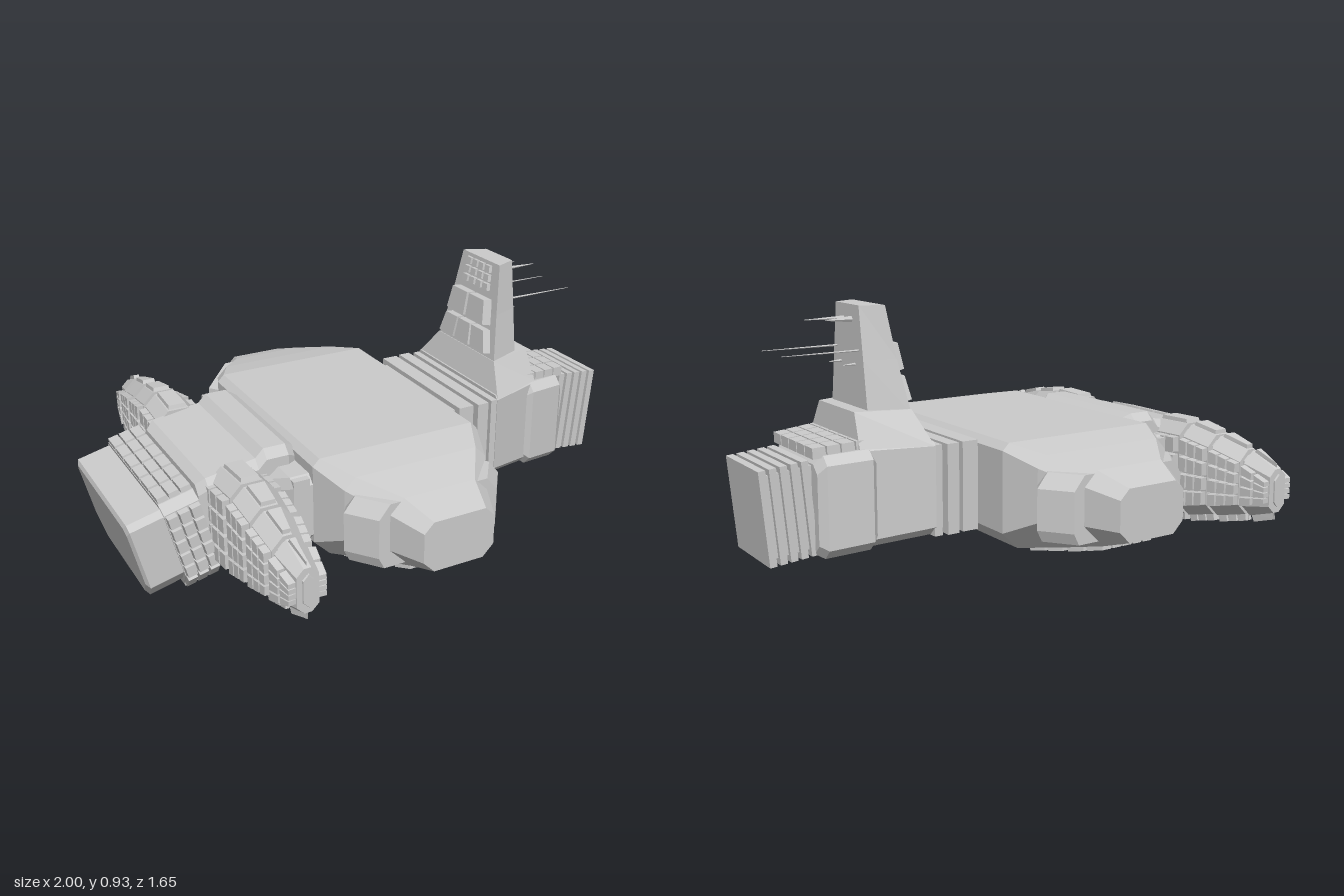
import * as THREE from 'three';
import { mergeGeometries } from 'three/addons/utils/BufferGeometryUtils.js';

const mat = new THREE.MeshStandardMaterial({ color: 0xcccccc, flatShading: true });
const V = (x, y, z) => new THREE.Vector3(x, y, z);

function add(parent, name, geo) {
  const m = new THREE.Mesh(geo, mat);
  m.name = name;
  parent.add(m);
  return m;
}

// Eight-sided outline with separate top and bottom corner cuts
const oct = (a0, a1, b0, b1, ct, cb = ct) => [
  [a0 + cb, b0], [a1 - cb, b0], [a1, b0 + cb], [a1, b1 - ct],
  [a1 - ct, b1], [a0 + ct, b1], [a0, b1 - ct], [a0, b0 + cb]];
const atX = (x, ring) => ring.map(([z, y]) => V(x, y, z));
const atZ = (z, ring) => ring.map(([x, y]) => V(x, y, z));

// Skin rings of equal length, cap both ends and make the faces point outward
function loft(rings) {
  const tris = [], n = rings[0].length;
  for (let i = 0; i < rings.length - 1; i++) for (let j = 0; j < n; j++) {
    const k = (j + 1) % n, a = rings[i], b = rings[i + 1];
    tris.push([a[j], a[k], b[k]], [a[j], b[k], b[j]]);
  }
  const end = rings[rings.length - 1];
  for (let j = 1; j < n - 1; j++)
    tris.push([rings[0][0], rings[0][j + 1], rings[0][j]], [end[0], end[j], end[j + 1]]);
  const o = rings[0][0];
  let vol = 0;
  for (const [a, b, c] of tris)
    vol += a.clone().sub(o).dot(b.clone().sub(o).cross(c.clone().sub(o)));
  const pts = tris.flatMap(([a, b, c]) => (vol < 0 ? [a, c, b] : [a, b, c]));
  const g = new THREE.BufferGeometry().setFromPoints(pts);
  g.computeVertexNormals();
  return g;
}

// Grid of raised tapered plates over a quad, standing out along dir
function plates(quad, nu, nv, t, dir, gap = 0.1) {
  const [a, b, c, d] = quad;
  const at = (u, v) => a.clone().lerp(b, u).lerp(d.clone().lerp(c, u), v);
  const n = b.clone().sub(a).cross(d.clone().sub(a)).normalize();
  if (n.dot(dir) < 0) n.negate();
  const out = [];
  for (let i = 0; i < nu; i++) for (let j = 0; j < nv; j++) {
    const ring = (g, h) => [[g, g], [1 - g, g], [1 - g, 1 - g], [g, 1 - g]]
      .map(([u, v]) => at((i + u) / nu, (j + v) / nv).addScaledVector(n, h));
    out.push(loft([ring(gap * 0.6, -0.005), ring(gap, t)]));
  }
  return mergeGeometries(out);
}

function buildHull(g) {
  const half = [
    [0.80, -0.195, 0.07, 0.20, 0.38, 0.035, 0.04],
    [0.68, -0.25, 0.12, 0.16, 0.42, 0.05, 0.08],
    [0.54, -0.34, 0.205, 0.13, 0.455, 0.04, 0.10],
    [0.41, -0.39, 0.255, 0.11, 0.48, 0.025, 0.06]];
  const ring = (s, [z, ...r]) => atZ(s * z, oct(...r));
  add(g, 'hull', loft([...half.map(h => ring(1, h)), ...half.slice().reverse().map(h => ring(-1, h))]));
  for (const s of [1, -1]) {
    // Angled blocks on the wing corners
    for (const [m, name] of [[1, 'leftCornerBlock'], [-1, 'rightCornerBlock']]) {
      const plan = [[0.10, 0.68], [0.225, 0.68], [0.30, 0.58], [0.27, 0.54], [0.10, 0.54]];
      const lvl = (y, k) => plan.map(([x, z]) => V(-0.065 + m * (x - k), y, s * z));
      add(g, name, loft([lvl(0.18, 0.02), lvl(0.22, 0), lvl(0.36, 0), lvl(0.41, 0.04)]));
    }
    // Plated underside of the wing
    const down = V(0, -1, s * 0.4);
    add(g, 'undersidePlates', plates([V(-0.3, 0.115, s * 0.43), V(0.17, 0.115, s * 0.43),
      V(0.1, 0.13, s * 0.54), V(-0.24, 0.13, s * 0.54)], 6, 2, 0.014, down));
    add(g, 'undersidePlates', plates([V(-0.24, 0.13, s * 0.55), V(0.1, 0.13, s * 0.55),
      V(0.04, 0.16, s * 0.68), V(-0.17, 0.16, s * 0.68)], 5, 2, 0.014, down));
  }
}

function buildArm(g, s) {
  const arm = new THREE.Group();
  arm.name = s > 0 ? 'frontArm' : 'backArm';
  g.add(arm);
  const sec = [[0.24, -0.69, -0.53, 0.095, 0.45], [0.42, -0.685, -0.53, 0.11, 0.455],
    [0.56, -0.68, -0.54, 0.14, 0.435], [0.70, -0.67, -0.56, 0.17, 0.405], [0.83, -0.65, -0.575, 0.205, 0.36]];
  const c = 0.04;
  add(arm, 'armCore', loft(sec.map(([z, a, b, y0, y1]) => atZ(s * z * 0.995, oct(a + 0.02, b - 0.02, y0 + 0.02, y1 - 0.02, 0.02)))));
  for (let i = 0; i < 4; i++) {
    const p = sec[i], q = sec[i + 1], za = s * (p[0] + 0.01), zb = s * (q[0] - 0.01);
    add(arm, 'armSegment', loft([atZ(za, oct(...p.slice(1), c)), atZ(zb, oct(...q.slice(1), i === 3 ? 0.025 : c))]));
    // Plates on both flanks and below
    for (const k of [1, 2])
      add(arm, 'flankPlates', plates([V(p[k], p[3] + c, za), V(p[k], p[4] - c, za),
        V(q[k], q[4] - c, zb), V(q[k], q[3] + c, zb)], 4, i === 3 ? 2 : 3, 0.026, V(k === 1 ? -1 : 1, 0, 0)));
    add(arm, 'lowerPlates', plates([V(p[1] + c, p[3], za), V(p[2] - c, p[3], za),
      V(q[2] - c, q[3], zb), V(q[1] + c, q[3], zb)], 2, i === 3 ? 1 : 3, 0.024, V(0, -1, 0)));
    add(arm, 'topCap', plates([V(p[1] + c, p[4], za), V(p[2] - c, p[4], za),
      V(q[2] - c, q[4], zb), V(q[1] + c, q[4], zb)], 1, 1, 0.014, V(0, 1, 0)));
  }
}

function buildRear(g) {
  // Joining body between hull and rear pod
  add(g, 'rearBody', loft([[-0.74, 0.27, 0.12, 0.40], [-0.71, 0.29, 0.11, 0.425], [-0.53, 0.29, 0.13, 0.455],
    [-0.50, 0.29, 0.14, 0.485], [-0.42, 0.29, 0.14, 0.485], [-0.385, 0.27, 0.14, 0.465]]
    .map(([x, w, y0, y1]) => atX(x, oct(-w, w, y0, y1, 0.03, 0.07)))));
  add(g, 'crossBeam', loft([-0.51, -0.46, -0.38].map((x, i) =>
    atX(x, oct(-0.41 + (i ? 0 : 0.1), 0.41 - (i ? 0 : 0.1), i ? 0.15 : 0.18, i ? 0.42 : 0.38, 0.03, 0.05)))));
  for (const s of [1, -1]) for (let i = 0; i < 2; i++) {
    const b = add(g, 'beamBlock', new THREE.BoxGeometry(0.06, 0.09, 0.09));
    b.position.set(-0.43, 0.24 + i * 0.13, s * 0.365);
  }
  // Tilted pod
  const pod = new THREE.Group();
  pod.name = 'rearPod';
  pod.position.set(-0.86, 0.195, 0);
  pod.rotation.z = 0.24;
  g.add(pod);
  add(pod, 'podShell', loft([[-0.105, 0.015], [-0.095, 0], [0.06, 0]]
    .map(([x, k]) => atX(x, oct(-0.29 + k, 0.29 - k, -0.16 + k, 0.16 - k, 0.02, 0.07)))));
  add(pod, 'podCollar', loft([[0.025, 0], [0.15, 0]]
    .map(([x, k]) => atX(x, oct(-0.295, 0.295, -0.185, 0.175, 0.03, 0.08)))));
  const x0 = 0.025, x1 = 0.15;
  for (const s of [1, -1]) {
    add(pod, 'collarSidePlates', plates([V(x0, -0.105, s * 0.295), V(x1, -0.105, s * 0.295),
      V(x1, 0.145, s * 0.295), V(x0, 0.145, s * 0.295)], 3, 5, 0.025, V(0, 0, s)));
    add(pod, 'collarLowerPlates', plates([V(x0, -0.185, s * 0.215), V(x1, -0.185, s * 0.215),
      V(x1, -0.105, s * 0.295), V(x0, -0.105, s * 0.295)], 3, 1, 0.018, V(0, -1, s)));
  }
  for (const s of [1, -1]) {
    const y = s > 0 ? 0.175 : -0.185, w = s > 0 ? 0.265 : 0.215;
    add(pod, 'collarPlates', plates([V(x0, y, -w), V(x1, y, -w), V(x1, y, w), V(x0, y, w)], 3, 6, 0.018, V(0, s, 0), 0.07));
  }
}

function buildNeck(g) {
  add(g, 'neckCore', new THREE.BoxGeometry(0.22, 0.28, 0.5)).position.set(0.34, 0.315, 0);
  for (const [x, w, d] of [[0.30, 0.06, 0.56], [0.37, 0.045, 0.57], [0.425, 0.03, 0.555]])
    add(g, 'neckRib', new THREE.BoxGeometry(w, 0.315, d)).position.set(x, 0.315, 0);
}

function buildHead(g) {
  add(g, 'headBody', loft([atX(0.435, oct(-0.28, 0.28, 0.16, 0.485, 0.015, 0.03)),
    atX(0.64, oct(-0.205, 0.205, 0.13, 0.48, 0.015, 0.03))]));
  // Block in front of the tower, leaning slightly down
  add(g, 'headBlock', loft([[0.615, 0.205, 0.145, 0.45], [0.64, 0.228, 0.125, 0.47], [0.79, 0.195, 0.11, 0.46], [0.815, 0.17, 0.125, 0.43]]
    .map(([x, w, y0, y1]) => atX(x, oct(-w, w, y0, y1, 0.03, 0.035)))));
  add(g, 'headTopPlates', plates([V(0.63, 0.468, -0.19), V(0.825, 0.455, -0.16),
    V(0.825, 0.455, 0.16), V(0.63, 0.468, 0.19)], 4, 5, 0.032, V(0, 1, 0), 0.06));
  const button = add(g, 'bellyButton', new THREE.CylinderGeometry(0.055, 0.045, 0.03, 8));
  button.position.set(0.70, 0.11, 0);
  // Ribbed nose
  const nose = new THREE.Group();
  nose.name = 'nose';
  nose.position.set(0.80, 0.285, 0);
  nose.rotation.z = -0.09;
  g.add(nose);
  add(nose, 'noseCore', new THREE.BoxGeometry(0.19, 0.28, 0.25)).position.x = 0.085;
  for (let i = 0; i < 5; i++)
    add(nose, 'noseRib', new THREE.BoxGeometry(0.025, 0.325, 0.28)).position.x = 0.03 + i * 0.037;
}

function buildTower(g) {
  const ring = (y, x0, x1, w0, w1) => [V(x0, y, -w0), V(x1, y, -w1), V(x1, y, w1), V(x0, y, w0)];
  add(g, 'towerBase', loft([ring(0.47, 0.437, 0.67, 0.28, 0.19), ring(0.585, 0.475, 0.66, 0.19, 0.135)]));
  add(g, 'tower', loft([ring(0.57, 0.475, 0.61, 0.19, 0.135), ring(0.75, 0.505, 0.61, 0.15, 0.11), ring(0.93, 0.53, 0.61, 0.12, 0.085)]));
  // Tiles and slabs on the rear face
  const back = V(-1, 0, 0);
  const face = (ya, yb, wa, wb) => {
    const x = y => 0.475 + (y - 0.57) * 0.16;
    return [V(x(ya), ya, -wa), V(x(ya), ya, wa), V(x(yb), yb, wb), V(x(yb), yb, -wb)];
  };
  add(g, 'rearTiles', plates(face(0.82, 0.92, 0.09, 0.08), 4, 3, 0.014, back, 0.14));
  add(g, 'rearSlabs', plates(face(0.70, 0.80, 0.13, 0.11), 2, 1, 0.035, back, 0.06));
  add(g, 'rearSlabs', plates(face(0.60, 0.69, 0.16, 0.13), 3, 1, 0.03, back, 0.06));
  // Antennas pointing forward
  for (const [y, z, len, r] of [[0.88, 0.028, 0.15, 0.008], [0.88, -0.028, 0.1, 0.012], [0.78, 0.085, 0.28, 0.004],
    [0.78, -0.08, 0.28, 0.004], [0.73, 0.055, 0.05, 0.006], [0.73, -0.05, 0.05, 0.006]]) {
    const a = add(g, 'antenna', new THREE.CylinderGeometry(0.001, r, len, 6));
    a.rotation.z = -Math.PI / 2;
    a.position.set(0.605 + len / 2, y, z);
  }
}

export function createModel() {
  const g = new THREE.Group();
  g.name = 'ship';
  buildHull(g);
  for (const s of [1, -1]) buildArm(g, s);
  buildRear(g);
  buildNeck(g);
  buildHead(g);
  buildTower(g);
  return g;
}
